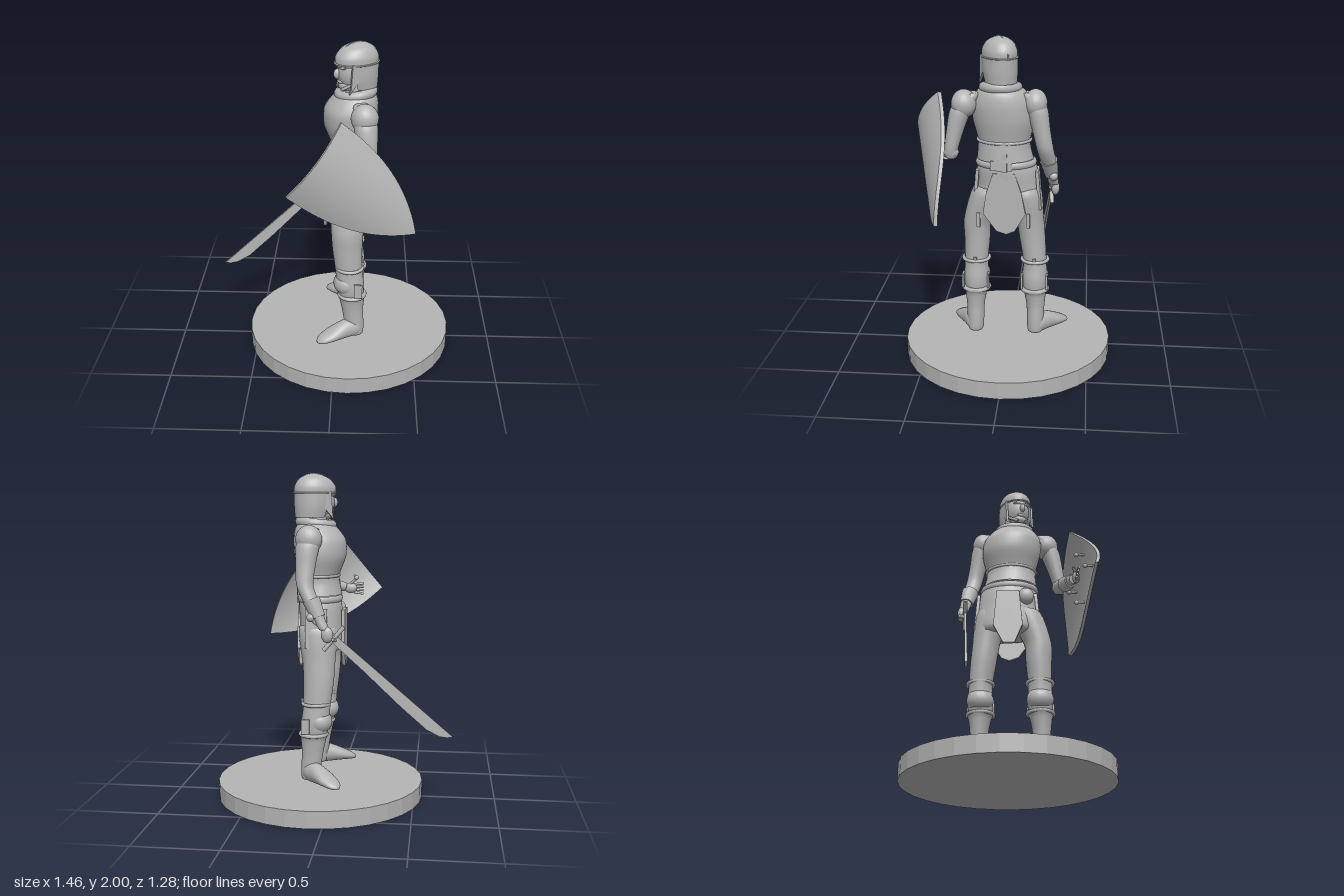
import * as THREE from 'three';
import { toCreasedNormals } from 'three/addons/utils/BufferGeometryUtils.js';

const stone = new THREE.MeshStandardMaterial({ color: 0xb4b4b4, side: THREE.DoubleSide });
stone.name = 'grey stone';
const V = (x, y, z) => new THREE.Vector3(x, y, z);

function add(parent, name, geo, pos = [0, 0, 0], rot = [0, 0, 0], scale = [1, 1, 1]) {
  const m = new THREE.Mesh(geo, stone);
  m.name = name;
  m.position.set(...pos); m.rotation.set(...rot); m.scale.set(...scale);
  parent.add(m);
  return m;
}
const ball = (p, name, pos, s) => add(p, name, new THREE.SphereGeometry(1, 20, 14), pos, [0, 0, 0], s);

// Smooth skin over elliptical rings [x, y, z, rx, rz], listed from low y to high y
function loft(secs, a0 = 0, arc = Math.PI * 2, closed = true) {
  const rows = closed ? [[...secs[0].slice(0, 3), 0, 0], ...secs, [...secs.at(-1).slice(0, 3), 0, 0]] : secs;
  const centre = new THREE.CatmullRomCurve3(rows.map(s => V(s[0], s[1], s[2])), false, 'catmullrom', 0.4);
  const radii = new THREE.CatmullRomCurve3(rows.map(s => V(s[3], s[4], 0)), false, 'catmullrom', 0.4);
  const n = (rows.length - 1) * 4, seg = 28, full = arc > 6.28, cols = full ? seg : seg + 1;
  const pos = [], idx = [];
  for (let i = 0; i <= n; i++) {
    const c = centre.getPoint(i / n), r = radii.getPoint(i / n);
    for (let j = 0; j < cols; j++) {
      const a = a0 + arc * j / seg;
      pos.push(c.x + Math.max(r.x, 0) * Math.cos(a), c.y, c.z + Math.max(r.y, 0) * Math.sin(a));
      if (i < n && j < seg) {
        const p = i * cols + j, q = i * cols + (j + 1) % cols;
        idx.push(p, p + cols, q, q, p + cols, q + cols);
      }
    }
  }
  const g = new THREE.BufferGeometry();
  g.setAttribute('position', new THREE.Float32BufferAttribute(pos, 3));
  g.setIndex(idx);
  g.computeVertexNormals();
  return g;
}

// Rod between two points
function rod(parent, name, a, b, r1, r2 = r1) {
  const A = V(...a), B = V(...b), d = B.clone().sub(A);
  const m = add(parent, name, new THREE.CylinderGeometry(r2, r1, d.length(), 14));
  m.position.copy(A).add(B).multiplyScalar(0.5);
  m.quaternion.setFromUnitVectors(V(0, 1, 0), d.normalize());
  return m;
}
function plate(points, depth) {
  const s = new THREE.Shape(points.map(p => new THREE.Vector2(...p)));
  return new THREE.ExtrudeGeometry(s, { depth, bevelEnabled: false });
}

function makeLeg(fig, side, z) {
  const leg = new THREE.Group();
  leg.name = side + 'Leg';
  fig.add(leg);
  const [ankle, knee, thigh, hip] = z;
  add(leg, 'boot', loft([[.13, .15, ankle, .05, .045], [.125, .22, ankle, .06, .052], [.115, .32, ankle, .066, .056],
    [.11, .4, (ankle + knee) / 2, .078, .068], [.11, .44, knee, .088, .08]]));
  add(leg, 'breeches', loft([[.105, .42, knee, .07, .065], [.1, .5, knee, .085, .078], [.09, .6, knee, .083, .072],
    [.08, .75, (knee + thigh) / 2, .092, .08], [.08, .88, thigh, .1, .085], [.09, 1.08, hip, .115, .1]]));
  ball(leg, 'kneeGuard', [.075, .51, knee], [.08, .075, .083]);
  add(leg, 'kneeBand', new THREE.TorusGeometry(.08, .011, 8, 28), [.095, .62, knee], [Math.PI / 2, 0, 0]);
  add(leg, 'bootCuff', new THREE.TorusGeometry(.08, .012, 8, 28), [.11, .43, knee], [Math.PI / 2, 0, 0]);
  for (const s of [-1, 1])
    add(leg, 'kneeStrap', new THREE.BoxGeometry(.05, .09, .012), [.15, .49, knee + s * .077]);
  add(leg, 'strapEnd', new THREE.BoxGeometry(.03, .015, .02), [.17, .64, knee]);
}

// Boot foot, running from heel to toe
function makeFoot(fig, side, heel, toe) {
  const dir = V(toe[0] - heel[0], 0, toe[1] - heel[1]), len = dir.length(), up = V(0, 1, 0);
  dir.normalize();
  const g = loft([[0, .01, .05, .03, .035], [0, .05, .06, .05, .06], [0, .12, .06, .053, .06],
    [0, len * .68, .042, .06, .04], [0, len * .9, .024, .046, .023], [0, len, .014, .015, .01]]);
  const foot = add(fig, side + 'Foot', g);
  foot.quaternion.setFromRotationMatrix(new THREE.Matrix4().makeBasis(dir.clone().cross(up), dir, up));
  foot.position.set(heel[0], .138, heel[1]);
}

function makeHead(fig) {
  const head = new THREE.Group();
  head.name = 'head';
  head.position.set(.125, 0, .045);
  head.rotation.y = -1.1;
  fig.add(head);
  ball(head, 'face', [0, 1.83, .025], [.078, .115, .098]);
  ball(head, 'jaw', [0, 1.755, .06], [.052, .04, .055]);
  ball(head, 'nose', [0, 1.825, .125], [.016, .03, .022]);
  ball(head, 'brow', [0, 1.865, .1], [.055, .014, .022]);
  ball(head, 'mouth', [0, 1.778, .108], [.028, .012, .012]);
  add(head, 'neck', new THREE.CylinderGeometry(.065, .08, .16, 20), [0, 1.72, 0]);
  add(head, 'helmetDome', loft([[0, 1.87, 0, .1, .132], [0, 1.92, 0, .098, .13], [0, 1.965, -.005, .076, .098],
    [0, 1.99, -.008, .038, .05], [0, 1.999, -.008, .006, .008]], 0, Math.PI * 2, false));
  add(head, 'helmetNeckGuard', loft([[0, 1.735, -.02, .092, .105], [0, 1.8, -.008, .1, .122], [0, 1.88, 0, .1, .132]],
    Math.PI * .84, Math.PI * 1.32, false));
  add(head, 'helmetRim', new THREE.TorusGeometry(1, .05, 8, 32), [0, 1.882, 0], [Math.PI / 2, 0, 0], [.1, .132, .1]);
  add(head, 'helmetRidge', new THREE.TorusGeometry(1, .03, 6, 28, Math.PI), [0, 1.878, -.004], [0, Math.PI / 2, 0], [.13, .12, .13]);
  for (const s of [-1, 1]) {
    const cheek = add(head, 'cheekGuard', plate([[.01, 1.89], [-.07, 1.89], [-.08, 1.75], [-.09, 1.72], [-.055, 1.76], [-.02, 1.8]], .014));
    cheek.position.x = s * .088 - .007;
    cheek.rotation.y = Math.PI / 2;
    rod(head, 'chinStrap', [s * .088, 1.78, .05], [s * .025, 1.735, .105], .009);
  }
}

function makeShield(fig) {
  const A = V(-.1, 1.455, .5), half = V(.15, .195, -.073), tip = V(.48, .96, .395);
  const n = tip.clone().sub(A).cross(half).normalize();
  if (n.z < 0) n.negate();
  const crest = A.clone().addScaledVector(n, .07), N = 24, M = 20, pos = [], idx = [];
  const at = (u, v, off) => {
    const s = u * (1 - v ** 2.6);
    return crest.clone().lerp(tip, v).addScaledVector(half, s).addScaledVector(n, off - .075 * s * s);
  };
  const quad = (a, b, c, d) => {
    const k = pos.length / 3;
    for (const p of [a, b, c, d]) pos.push(p.x, p.y, p.z);
    idx.push(k, k + 1, k + 2, k, k + 2, k + 3);
  };
  const T = -.022;
  for (let i = 0; i < N; i++) {
    const v0 = i / N, v1 = (i + 1) / N;
    for (let j = 0; j < M; j++) {
      const u0 = j / M * 2 - 1, u1 = (j + 1) / M * 2 - 1;
      quad(at(u0, v0, 0), at(u0, v1, 0), at(u1, v1, 0), at(u1, v0, 0));
      quad(at(u0, v0, T), at(u1, v0, T), at(u1, v1, T), at(u0, v1, T));
      if (i === 0) quad(at(u0, 0, 0), at(u1, 0, 0), at(u1, 0, T), at(u0, 0, T));
    }
    quad(at(1, v0, 0), at(1, v1, 0), at(1, v1, T), at(1, v0, T));
    quad(at(-1, v0, 0), at(-1, v0, T), at(-1, v1, T), at(-1, v1, 0));
  }
  const g = new THREE.BufferGeometry();
  g.setAttribute('position', new THREE.Float32BufferAttribute(pos, 3));
  g.setIndex(idx);
  add(fig, 'shield', toCreasedNormals(g, .6));
  // Strap posts on the inner face
  for (const [u, v] of [[-.35, .12], [.35, .12], [-.35, .45], [.35, .45]]) {
    const a = at(u, v, T), b = at(u, v, -.075);
    rod(fig, 'strapPost', a.toArray(), b.toArray(), .008);
    ball(fig, 'strapKnob', b.toArray(), [.015, .015, .015]);
  }
}

function makeArms(fig) {
  add(fig, 'rightArm', loft([[.03, 1.09, -.275, .03, .028], [.06, 1.15, -.265, .034, .034], [.1, 1.23, -.25, .046, .046],
    [.15, 1.34, -.225, .05, .05], [.15, 1.46, -.2, .06, .054], [.14, 1.58, -.175, .07, .062], [.13, 1.67, -.13, .05, .05]]));
  add(fig, 'leftUpperArm', loft([[.2, 1.29, .325, .035, .03], [.2, 1.34, .325, .05, .04], [.19, 1.46, .3, .06, .052],
    [.18, 1.58, .265, .068, .064], [.16, 1.67, .21, .05, .05]]));
  rod(fig, 'leftForearm', [.2, 1.33, .325], [-.02, 1.27, .42], .046, .03);
  ball(fig, 'leftElbow', [.2, 1.325, .325], [.047, .045, .045]);
  rod(fig, 'leftBracer', [.11, 1.3, .365], [.02, 1.28, .403], .05, .042);
  rod(fig, 'rightBracer', [.11, 1.26, -.245], [.065, 1.16, -.262], .054, .042);
  ball(fig, 'leftPauldron', [.175, 1.61, .25], [.08, .085, .075]);
  ball(fig, 'rightPauldron', [.135, 1.61, -.165], [.08, .085, .07]);
  // Hands with curled fingers
  ball(fig, 'leftPalm', [-.055, 1.262, .435], [.042, .034, .024]);
  ball(fig, 'rightPalm', [.012, 1.06, -.285], [.036, .048, .026]);
  for (let i = 0; i < 4; i++) {
    rod(fig, 'leftFinger', [-.08, 1.285 - i * .017, .44], [-.14, 1.29 - i * .022, .455 - i * .006], .009, .007);
    rod(fig, 'rightFinger', [-.022 + i * .016, 1.035 + i * .013, -.295], [-.035 + i * .016, 1.02 + i * .013, -.25], .01);
  }
  rod(fig, 'leftThumb', [-.05, 1.285, .43], [-.09, 1.32, .42], .01, .008);
  rod(fig, 'rightThumb', [.01, 1.07, -.265], [-.035, 1.05, -.25], .011, .009);
}

function makeSword(fig) {
  const sword = new THREE.Group();
  sword.name = 'sword';
  sword.position.set(0, 0, -.262);
  sword.rotation.y = .135;
  fig.add(sword);
  add(sword, 'blade', plate([[-.03, 1.06], [-.4, .735], [-.74, .435], [-.705, .43], [-.66, .437], [-.58, .48],
    [-.42, .625], [-.2, .84], [0, 1.025]], .014), [0, 0, -.007]);
  rod(sword, 'crossGuard', [-.085, 1.105, 0], [.035, .965, 0], .013);
  rod(sword, 'grip', [-.03, 1.035, 0], [.1, 1.15, 0], .015);
  ball(sword, 'pommel', [.11, 1.16, 0], [.026, .026, .026]);
}

export function createModel() {
  const fig = new THREE.Group();
  fig.name = 'knightStatue';
  add(fig, 'base', toCreasedNormals(new THREE.CylinderGeometry(.64, .64, .105, 32), .1), [.09, .0525, 0]);

  makeLeg(fig, 'left', [.2, .195, .185, .11]);
  makeLeg(fig, 'right', [-.175, -.168, -.135, -.1]);
  makeFoot(fig, 'left', [.175, .185], [-.1, .325]);
  makeFoot(fig, 'right', [.165, -.155], [-.06, -.36]);

  // Torso, tunic and belts
  add(fig, 'cuirass', loft([[.1, 1.27, .02, .115, .15], [.1, 1.38, .02, .125, .155], [.09, 1.5, .022, .158, .185],
    [.095, 1.6, .03, .16, .185], [.115, 1.67, .035, .13, .15], [.125, 1.72, .04, .085, .09]]));
  add(fig, 'fauld', loft([[.095, 1.27, .015, .14, .17], [.1, 1.34, .02, .13, .158], [.1, 1.39, .02, .126, .156]], 0, Math.PI * 2, false));
  add(fig, 'tunic', loft([[.075, .94, -.005, .128, .198], [.08, 1.1, -.005, .132, .188], [.09, 1.25, .008, .122, .165]]));
  add(fig, 'belt', new THREE.TorusGeometry(1, .1, 8, 36), [.09, 1.245, .01], [Math.PI / 2, 0, 0], [.125, .168, .22]);
  add(fig, 'waistBand', new THREE.TorusGeometry(1, .06, 8, 36), [.1, 1.385, .02], [Math.PI / 2, 0, 0], [.126, .158, .16]);
  add(fig, 'beltClasp', new THREE.BoxGeometry(.025, .06, .13), [.215, 1.25, .03]);
  add(fig, 'beltTail', new THREE.BoxGeometry(.015, .11, .03), [.226, 1.27, .01]);
  add(fig, 'collar', new THREE.TorusGeometry(1, .28, 12, 32), [.12, 1.7, .04], [Math.PI / 2, .12, 0], [.1, .1, .11]);
  add(fig, 'backFlap', plate([[-.07, 1.2], [.06, 1.2], [.1, 1.08], [.125, .95], [.06, .84], [.01, .82], [-.05, .84], [-.13, .95], [-.11, 1.08]], .02),
    [.196, 0, .01], [0, Math.PI / 2, 0]);
  add(fig, 'frontFlap', plate([[-.07, 1.18], [.07, 1.18], [.09, .95], [.03, .83], [-.04, .83], [-.09, .95]], .02),
    [.09, 0, .01], [0, Math.PI / 2, 0]).position.x = -.07;
  for (const s of [-1, 1]) {
    add(fig, 'hipPlate', new THREE.BoxGeometry(.13, .24, .02), [.09, 1.08, s * .188], [s * -.08, 0, 0]);
    add(fig, 'thighStrap', new THREE.BoxGeometry(.02, .09, .02), [.19, .9, s * .15 + .02]);
  }
  ball(fig, 'beltPouch', [-.02, 1.16, .12], [.04, .055, .05]);

  makeArms(fig);
  makeHead(fig);
  makeShield(fig);
  makeSword(fig);
  return fig;
}
